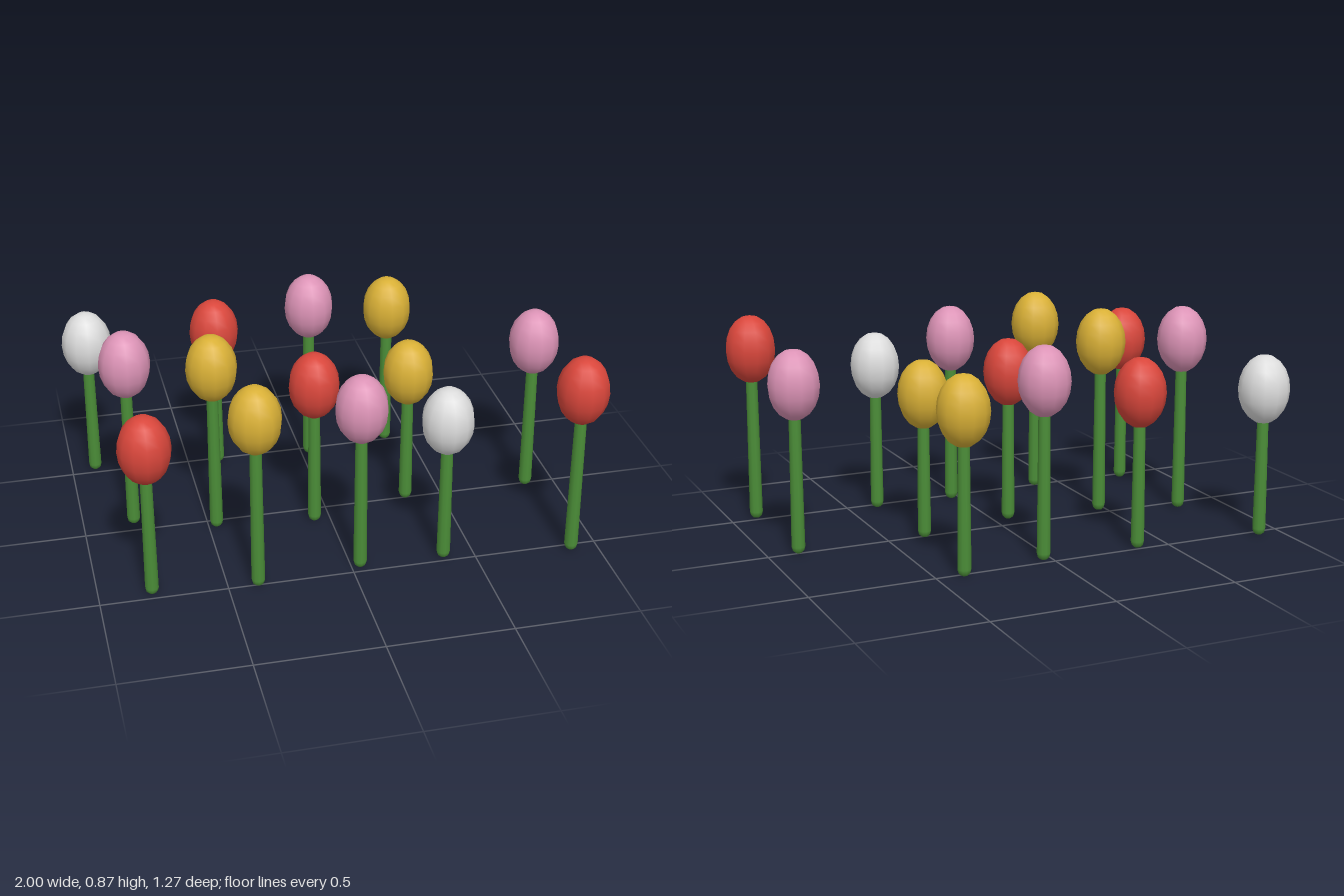
import * as THREE from 'three';

const mat = (name, color) => {
  const m = new THREE.MeshStandardMaterial({ color });
  m.name = name;
  return m;
};

export function createModel() {
  const group = new THREE.Group();
  group.name = 'flowerBed';

  const green = mat('stemGreen', 0x4a8c37);
  const red = mat('red', 0xd9463b);
  const yellow = mat('yellow', 0xd9b036);
  const pink = mat('pink', 0xdc93b6);
  const white = mat('white', 0xdcdcdc);

  // egg-shaped bloom shared by every flower
  const bloomGeo = new THREE.SphereGeometry(0.103, 12, 10);
  bloomGeo.scale(1, 1.36, 1);

  // slightly tapered stem with a rounded foot, ending inside the bloom
  const stemGeo = (height) => new THREE.LatheGeometry([
    [0, 0], [0.014, 0.003], [0.023, 0.012], [0.027, 0.028], [0.023, height], [0, height],
  ].map(([r, y]) => new THREE.Vector2(r, y)), 10);

  // x, z, bloom centre height, colour
  const flowers = [
    // back row
    [-0.9, -0.535, 0.605, white],
    [-0.37, -0.48, 0.63, red],
    [0.035, -0.465, 0.71, pink],
    [0.39, -0.515, 0.642, yellow],
    // middle row
    [-0.795, -0.062, 0.73, pink],
    [-0.467, 0.04, 0.728, yellow],
    [-0.065, 0.085, 0.627, red],
    [0.347, -0.005, 0.592, yellow],
    [0.875, 0.005, 0.677, pink],
    // front row
    [-0.793, 0.46, 0.638, red],
    [-0.382, 0.497, 0.732, yellow],
    [0.035, 0.46, 0.707, pink],
    [0.375, 0.467, 0.618, white],
    [0.89, 0.53, 0.72, red],
  ];

  flowers.forEach(([x, z, y, colour], i) => {
    const flower = new THREE.Group();
    flower.name = `flower${i + 1}`;
    flower.position.set(x, 0, z);

    const stem = new THREE.Mesh(stemGeo(y - 0.08), green);
    stem.name = 'stem';

    const bloom = new THREE.Mesh(bloomGeo, colour);
    bloom.name = 'bloom';
    bloom.position.y = y;

    flower.add(stem, bloom);
    group.add(flower);
  });

  return group;
}
